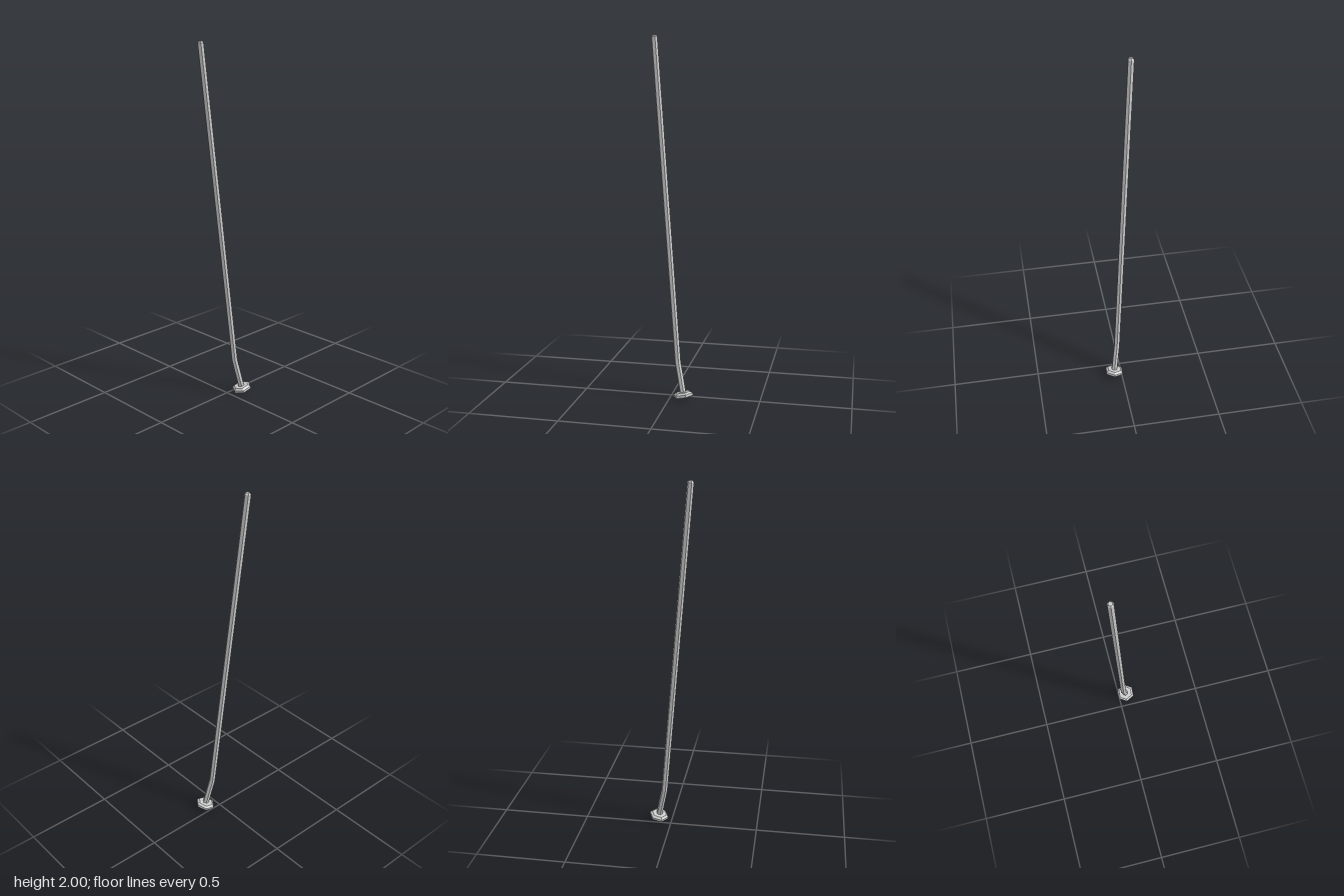
import * as THREE from 'three';

const SIDES = 6;
const TURN = -0.07; // slight twist of the hexagon about its axis
const UP = new THREE.Vector3(0, 1, 0);
const material = new THREE.MeshStandardMaterial({ color: 0xcccccc, flatShading: true });

// Skins hexagonal rings { center, normal, radius } from bottom to top and caps both ends.
function loft(name, rings) {
  const positions = [];
  const index = [];
  const push = (v) => positions.push(v.x, v.y, v.z);
  for (const { center, normal, radius } of rings) {
    const tilt = new THREE.Quaternion().setFromUnitVectors(UP, normal);
    for (let i = 0; i < SIDES; i++) {
      const a = TURN + (i / SIDES) * Math.PI * 2;
      push(new THREE.Vector3(Math.sin(a) * radius, 0, Math.cos(a) * radius).applyQuaternion(tilt).add(center));
    }
  }
  const last = (rings.length - 1) * SIDES;
  const bottom = rings.length * SIDES;
  push(rings[0].center);
  push(rings[rings.length - 1].center);
  for (let i = 0; i < SIDES; i++) {
    const j = (i + 1) % SIDES;
    for (let r = 0; r < last; r += SIDES) {
      index.push(r + i, r + j, r + SIDES + j, r + i, r + SIDES + j, r + SIDES + i);
    }
    index.push(bottom, j, i, bottom + 1, last + i, last + j);
  }
  const geometry = new THREE.BufferGeometry();
  geometry.setAttribute('position', new THREE.Float32BufferAttribute(positions, 3));
  geometry.setIndex(index);
  geometry.computeVertexNormals();
  const mesh = new THREE.Mesh(geometry, material);
  mesh.name = name;
  return mesh;
}

export function createModel() {
  const group = new THREE.Group();
  group.name = 'bentPin';

  // Axis: flat head at the foot, a bend just above it, then a long leaning rod
  const foot = new THREE.Vector3(0.046, 0.012, -0.079);
  const bend = new THREE.Vector3(0.021, 0.205, -0.04);
  const tip = new THREE.Vector3(-0.08, 1.999, 0.114);
  const lower = bend.clone().sub(foot).normalize();
  const upper = tip.clone().sub(bend).normalize();
  const middle = lower.clone().add(upper).normalize();
  const along = (start, dir, d) => start.clone().addScaledVector(dir, d);

  // Rod with a bevelled tip
  group.add(loft('rod', [
    { center: along(foot, lower, 0.015), normal: lower, radius: 0.018 },
    { center: bend, normal: middle, radius: 0.018 },
    { center: along(tip, upper, -0.009), normal: upper, radius: 0.018 },
    { center: tip, normal: upper, radius: 0.011 },
  ]));

  // Bevelled hexagonal head, square to the lower length of the rod
  const profile = [[0, 0.048], [0.006, 0.056], [0.019, 0.056], [0.029, 0.043]];
  group.add(loft('head', profile.map(([d, radius]) => (
    { center: along(foot, lower, d), normal: lower, radius }))));

  return group;
}
